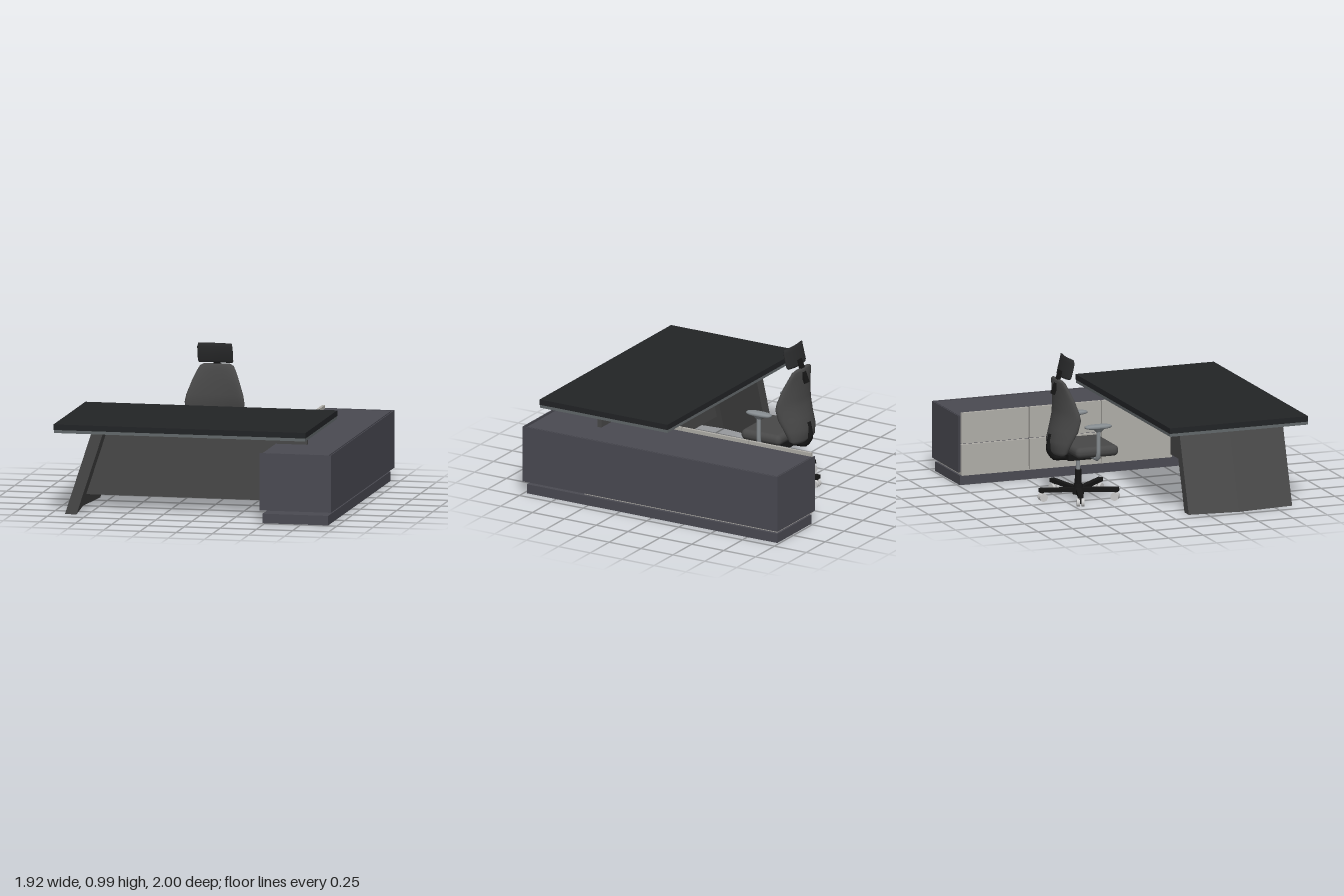
import * as THREE from 'three';
import { RoundedBoxGeometry } from 'three/addons/geometries/RoundedBoxGeometry.js';

const mat = (color, extra = {}) => new THREE.MeshStandardMaterial({ color, ...extra });
const M = {
  top: mat(0x222426), edge: mat(0x62686a), leg: mat(0x484848), cabinet: mat(0x4a4a52),
  front: mat(0xb0aea8), fabric: mat(0x484848, { side: THREE.DoubleSide }), black: mat(0x161616),
  head: mat(0x2a2b2c, { side: THREE.DoubleSide }), grey: mat(0x868c90), wheel: mat(0xcccccc),
};

function add(parent, name, geometry, material) {
  const m = new THREE.Mesh(geometry, material);
  m.name = name;
  parent.add(m);
  return m;
}

// Box given by its extents on each axis
function box(parent, name, material, [x0, x1], [y0, y1], [z0, z1]) {
  const m = add(parent, name, new THREE.BoxGeometry(x1 - x0, y1 - y0, z1 - z0), material);
  m.position.set((x0 + x1) / 2, (y0 + y1) / 2, (z0 + z1) / 2);
  return m;
}

// Cushion lofted upward: rows are [y, halfWidth, zBack, thickness, forward curl of the sides]
function cushion(rows, n = 32) {
  const [first, last] = [rows[0], rows[rows.length - 1]];
  const flat = r => [r[0], r[1] * 0.02, r[2] + r[3] / 2, 0.001, 0];
  const all = [flat(first), ...rows, flat(last)];
  const pos = [], idx = [];
  const soft = v => Math.sign(v) * Math.abs(v) ** 0.7;
  all.forEach(([y, hw, zb, th, curl], i) => {
    for (let j = 0; j < n; j++) {
      const t = (j / n) * Math.PI * 2, u = soft(Math.cos(t));
      pos.push(hw * u, y, zb + th / 2 + (th / 2) * soft(Math.sin(t)) + curl * u * u);
      if (i < all.length - 1) {
        const a = i * n + j, b = i * n + (j + 1) % n;
        idx.push(a, a + n, b, b, a + n, b + n);
      }
    }
  });
  const g = new THREE.BufferGeometry();
  g.setAttribute('position', new THREE.Float32BufferAttribute(pos, 3));
  g.setIndex(idx);
  g.computeVertexNormals();
  return g;
}

const shapeOf = pts => new THREE.Shape(pts.map(p => new THREE.Vector2(...p)));

function tube(parent, name, material, pts, r) {
  const curve = new THREE.CatmullRomCurve3(pts.map(p => new THREE.Vector3(...p)), false, 'catmullrom', 0.2);
  return add(parent, name, new THREE.TubeGeometry(curve, 20, r, 10), material);
}

function cylinder(parent, name, material, r0, r1, y0, y1) {
  const m = add(parent, name, new THREE.CylinderGeometry(r1, r0, y1 - y0, 20), material);
  m.position.y = (y0 + y1) / 2;
  return m;
}

function makeDesk() {
  const g = new THREE.Group();
  g.name = 'desk';
  box(g, 'deskTop', M.top, [-0.963, 0.778], [0.587, 0.625], [-0.03, 0.973]);
  box(g, 'deskTopUnderlayer', M.edge, [-0.961, 0.776], [0.566, 0.587], [-0.028, 0.971]);

  // Leaning slab leg, bent outward in plan
  const plan = [[-0.905, -0.88], [-0.825, -0.88], [-0.862, -0.5], [-0.825, -0.13], [-0.905, -0.13], [-0.945, -0.48]];
  const leg = new THREE.ExtrudeGeometry(shapeOf(plan), { depth: 0.566, bevelEnabled: false });
  leg.rotateX(-Math.PI / 2);
  const p = leg.attributes.position;
  for (let i = 0; i < p.count; i++) p.setX(i, p.getX(i) + p.getY(i) * 0.327);
  leg.computeVertexNormals();
  add(g, 'slantedLeg', leg, M.leg);

  // Front panel cut to the lean of the leg
  const panel = new THREE.ExtrudeGeometry(
    shapeOf([[-0.84, 0.09], [0.7, 0.09], [0.7, 0.566], [-0.685, 0.566]]), { depth: 0.03, bevelEnabled: false });
  panel.translate(0, 0, 0.535);
  add(g, 'modestyPanel', panel, M.leg);
  return g;
}

function makeCabinet() {
  const g = new THREE.Group();
  g.name = 'sideCabinet';
  box(g, 'plinth', M.cabinet, [0.483, 0.936], [0, 0.065], [-0.985, 0.98]);
  box(g, 'bottomBoard', M.front, [0.475, 0.912], [0.065, 0.09], [-0.97, 0.54]);
  box(g, 'cabinetBody', M.cabinet, [0.483, 0.94], [0.09, 0.479], [-0.984, 0.975]);
  // Thin cladding on three outer sides
  box(g, 'sideCladding', M.cabinet, [0.954, 0.96], [0.09, 0.482], [-1, 1]);
  for (const s of [-1, 1]) {
    const z = [s * 0.997 - 0.003, s * 0.997 + 0.003];
    box(g, 'endCladding', M.cabinet, [0.465, 0.96], [0.09, 0.482], z);
  }
  // Two columns of drawers and one door, on the chair side
  for (const [z0, z1] of [[-0.98, -0.495], [-0.485, 0.03]]) {
    box(g, 'lowerDrawer', M.front, [0.463, 0.483], [0.07, 0.283], [z0, z1]);
    box(g, 'upperDrawer', M.front, [0.463, 0.483], [0.29, 0.503], [z0, z1]);
  }
  box(g, 'cabinetDoor', M.front, [0.463, 0.483], [0.07, 0.503], [0.04, 0.545]);
  return g;
}

// Built around its own column axis, facing +z
function makeChair() {
  const g = new THREE.Group();
  g.name = 'chair';

  // Five-star base with twin-wheel casters
  for (let i = 0; i < 5; i++) {
    const arm = new THREE.Group();
    arm.name = 'baseArm';
    arm.rotation.y = (i * Math.PI * 2) / 5;
    const spoke = box(arm, 'spoke', M.black, [-0.018, 0.018], [0.055, 0.082], [-0.282, -0.01]);
    spoke.rotation.x = 0.06;
    for (const s of [-1, 1]) {
      const w = add(arm, 'casterWheel', new THREE.CylinderGeometry(0.028, 0.028, 0.02, 20), M.wheel);
      w.rotation.z = Math.PI / 2;
      w.position.set(s * 0.016, 0.028, -0.258);
    }
    box(arm, 'casterPin', M.black, [-0.007, 0.007], [0.02, 0.07], [-0.265, -0.251]);
    g.add(arm);
  }
  cylinder(g, 'hub', M.black, 0.04, 0.03, 0.03, 0.1);
  cylinder(g, 'gasSleeve', M.black, 0.024, 0.022, 0.09, 0.2);
  cylinder(g, 'gasColumn', M.grey, 0.014, 0.014, 0.2, 0.3);
  box(g, 'mechanism', M.black, [-0.08, 0.08], [0.28, 0.32], [-0.1, 0.13]);

  const seat = add(g, 'seat', new RoundedBoxGeometry(0.39, 0.075, 0.31, 5, 0.035), M.fabric);
  seat.position.set(0, 0.35, 0.07);
  tube(g, 'backBracket', M.black, [[0, 0.295, -0.03], [0, 0.3, -0.17], [0, 0.36, -0.21], [0, 0.46, -0.19]], 0.024);

  add(g, 'backrest', cushion([
    [0.325, 0.12, -0.19, 0.03, 0.02],
    [0.35, 0.155, -0.21, 0.05, 0.04],
    [0.42, 0.175, -0.215, 0.065, 0.06],
    [0.5, 0.195, -0.195, 0.07, 0.075],
    [0.58, 0.207, -0.175, 0.065, 0.075],
    [0.63, 0.198, -0.17, 0.06, 0.065],
    [0.72, 0.165, -0.168, 0.055, 0.04],
    [0.79, 0.135, -0.168, 0.046, 0.015],
    [0.825, 0.115, -0.166, 0.038, 0.005],
    [0.837, 0.09, -0.16, 0.022, 0.002],
  ]), M.fabric);

  // Headrest on a rear strut
  add(g, 'headrest', cushion([
    [0.85, 0.116, -0.13, 0.018, 0.015],
    [0.862, 0.122, -0.132, 0.026, 0.018],
    [0.91, 0.123, -0.121, 0.03, 0.018],
    [0.96, 0.122, -0.108, 0.026, 0.018],
    [0.985, 0.116, -0.102, 0.016, 0.015],
  ]), M.head);
  const strut = box(g, 'headrestStrut', M.black, [-0.022, 0.022], [0.73, 0.9], [-0.165, -0.147]);
  strut.rotation.x = 0.36;

  // Armrests, mirrored
  for (const s of [-1, 1]) {
    tube(g, 'armSupport', M.grey,
      [[s * 0.1, 0.305, 0.06], [s * 0.205, 0.31, 0.06], [s * 0.222, 0.36, 0.06], [s * 0.222, 0.52, 0.06]], 0.015);
    const neck = cylinder(g, 'armNeck', M.grey, 0.018, 0.045, 0.5, 0.525);
    neck.position.x = s * 0.224;
    neck.position.z = 0.06;
    neck.scale.x = 0.6;
    const pad = add(g, 'armPad', new THREE.SphereGeometry(1, 24, 16), M.grey);
    // Squared-off ellipsoid pad
    const p = pad.geometry.attributes.position;
    const sq = v => Math.sign(v) * Math.abs(v) ** 0.75;
    for (let i = 0; i < p.count; i++) p.setXYZ(i, sq(p.getX(i)) * 0.035, sq(p.getY(i)) * 0.016, sq(p.getZ(i)) * 0.097);
    pad.geometry.computeVertexNormals();
    pad.position.set(s * 0.224, 0.537, 0.057);
  }
  g.position.set(-0.162, 0, -0.38);
  return g;
}

export function createModel() {
  const model = new THREE.Group();
  model.name = 'executiveDeskSet';
  model.add(makeDesk(), makeCabinet(), makeChair());
  return model;
}
